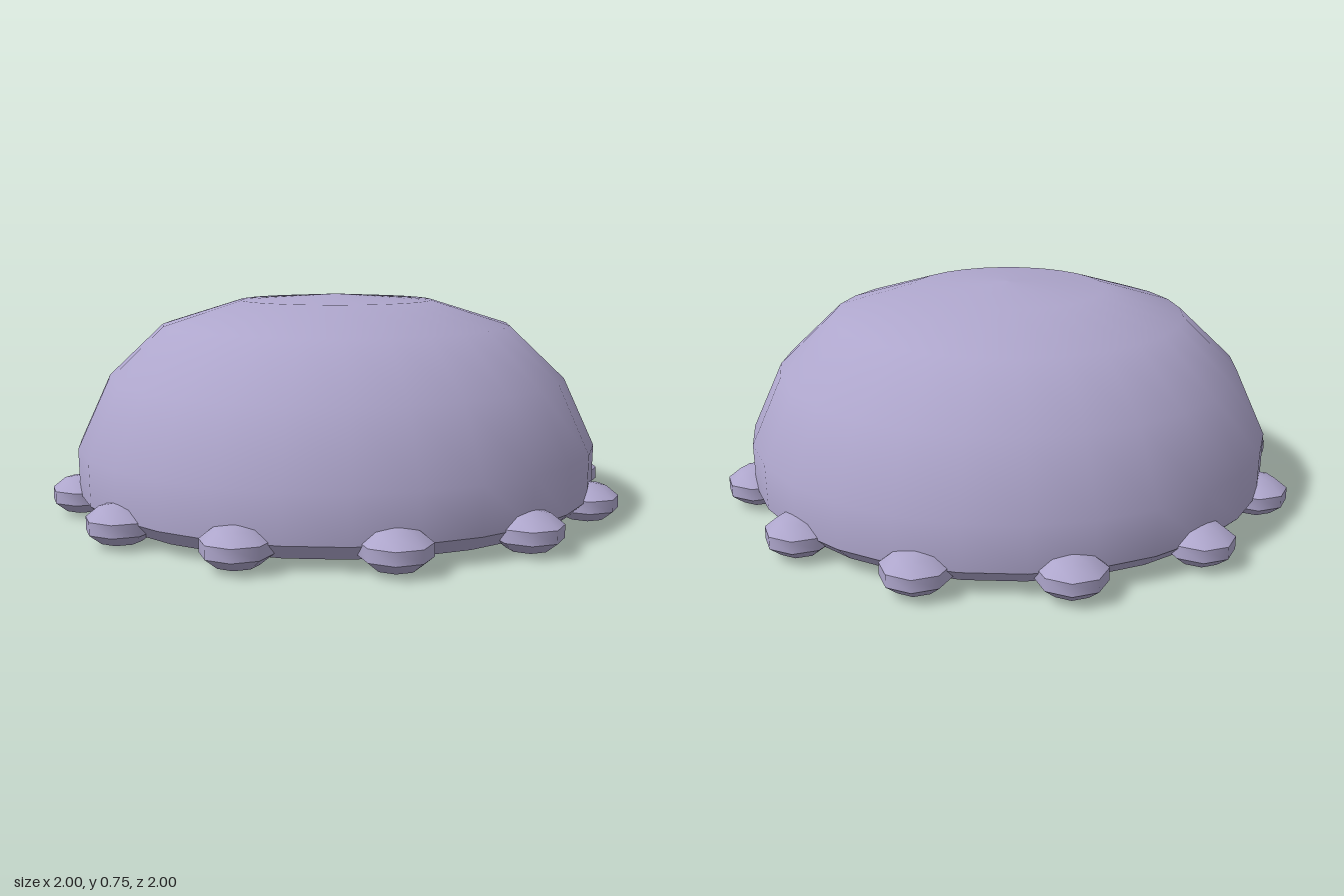
import * as THREE from 'three';
import { toCreasedNormals } from 'three/addons/utils/BufferGeometryUtils.js';

const V = (x, y) => new THREE.Vector2(x, y);
const SEGMENTS = 28;

export function createModel() {
  const model = new THREE.Group();
  const lilac = new THREE.MeshStandardMaterial({ color: 0xaea6cc, side: THREE.DoubleSide });
  lilac.name = 'lilac';

  const add = (name, geometry, parent = model) => {
    const mesh = new THREE.Mesh(geometry, lilac);
    mesh.name = name;
    parent.add(mesh);
    return mesh;
  };

  // Outer shell, bottom to top
  const outer = [V(0.905, 0.085), V(0.908, 0.24), V(0.802, 0.47), V(0.612, 0.65), V(0.34, 0.735), V(0, 0.755)];
  add('domeShell', new THREE.LatheGeometry(outer, SEGMENTS));

  // Bevelled lower rim
  add('rim', new THREE.LatheGeometry([V(0.85, 0.033), V(0.905, 0.085)], SEGMENTS));

  // Shallow hollow underneath, top to bottom so that it faces down
  const inner = [V(0, 0.36), V(0.3, 0.3), V(0.6, 0.185), V(0.85, 0.033)];
  add('domeLining', new THREE.LatheGeometry(inner, SEGMENTS));

  // Twelve flattened studs around the rim, all facing the same way
  const studGeometry = toCreasedNormals(new THREE.SphereGeometry(0.116, 8, 5).scale(1, 0.58, 1), 0.82);
  const studs = new THREE.Group();
  studs.name = 'rimStuds';
  model.add(studs);
  for (let i = 0; i < 12; i++) {
    const angle = (i * Math.PI) / 6;
    const stud = add('stud', studGeometry, studs);
    stud.position.set(0.89 * Math.cos(angle), 0.072, 0.89 * Math.sin(angle));
  }
  return model;
}
